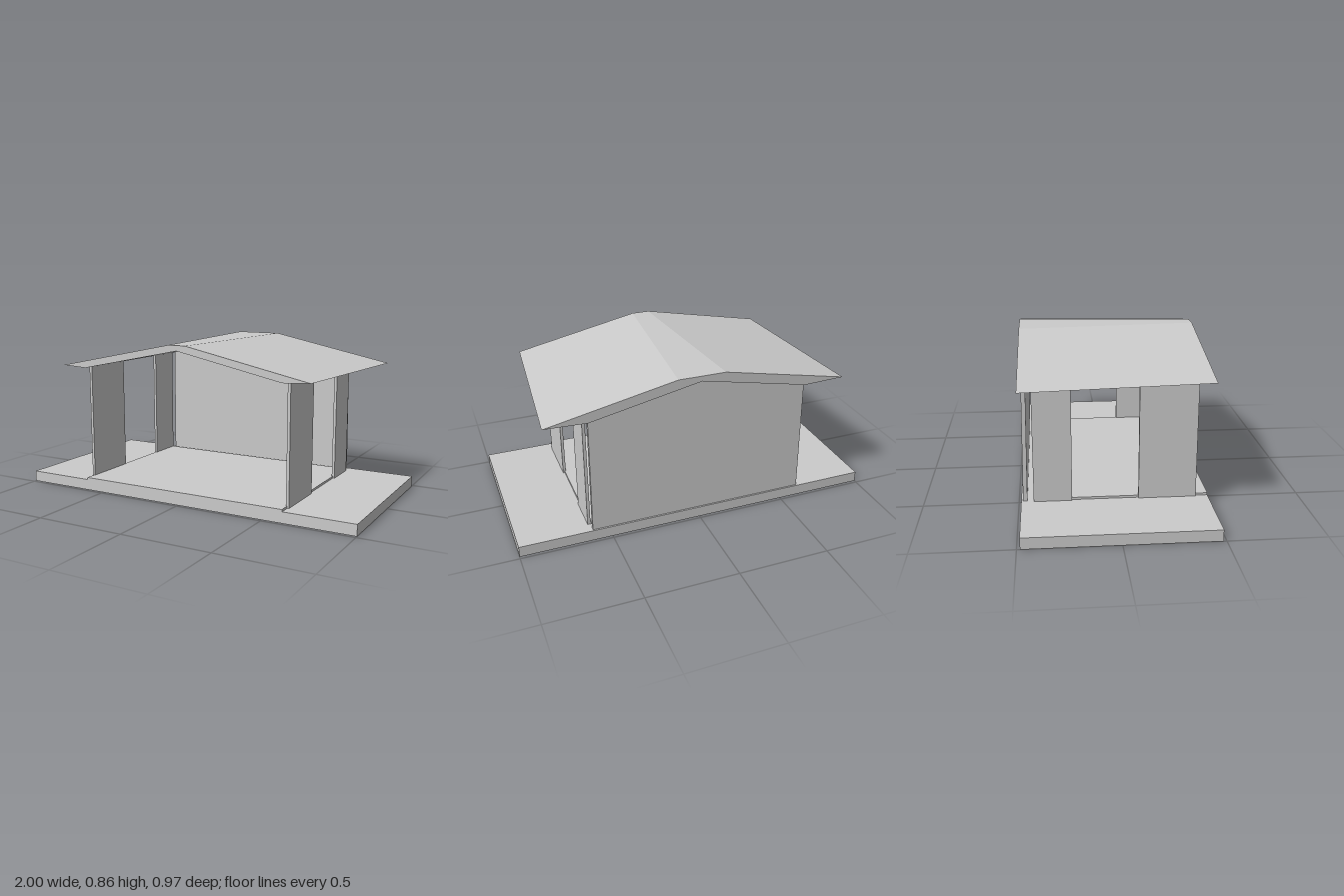
import * as THREE from 'three';

const material = new THREE.MeshStandardMaterial({ color: 0xcccccc, flatShading: true });

function add(group, name, geometry, x = 0, y = 0, z = 0) {
  const mesh = new THREE.Mesh(geometry, material);
  mesh.name = name;
  mesh.position.set(x, y, z);
  group.add(mesh);
  return mesh;
}

// Extrude a polygon lying in the xy plane between two z values
function prism(points, z0, z1) {
  const shape = new THREE.Shape(points.map(([x, y]) => new THREE.Vector2(x, y)));
  return new THREE.ExtrudeGeometry(shape, { depth: z1 - z0, bevelEnabled: false }).translate(0, 0, z0);
}

// Roof slab with a shallow gable, wider at the back than at the front
function roofGeometry() {
  const eave = 0.83, ridge = 0.13;
  const geometry = prism([
    [-eave, 0.712], [-0.6, 0.704], [0, 0.828], [0.6, 0.704],
    [eave, 0.712], [ridge, 0.857], [-ridge, 0.857],
  ], -0.483, 0.483);
  const p = geometry.attributes.position;
  for (let i = 0; i < p.count; i++) {
    if (p.getZ(i) < 0) continue;
    const x = p.getX(i), a = Math.abs(x), s = Math.sign(x);
    if (a > 0.7) p.setX(i, s * 0.75);
    else if (a > 0.05 && a < 0.2) p.setX(i, s * 0.05);
  }
  geometry.computeVertexNormals();
  return geometry;
}

// Gabled back wall leaning very slightly forward towards its top
function backWallGeometry() {
  const geometry = prism([
    [-0.605, 0.06], [0.605, 0.06], [0.6, 0.705], [0, 0.822], [-0.6, 0.705],
  ], -0.475, -0.453);
  const p = geometry.attributes.position;
  for (let i = 0; i < p.count; i++) p.setZ(i, p.getZ(i) + (p.getY(i) - 0.06) * 0.011);
  geometry.computeVertexNormals();
  return geometry;
}

export function createModel() {
  const group = new THREE.Group();
  group.name = 'shelter';

  add(group, 'base', new THREE.BoxGeometry(2, 0.06, 0.968), 0, 0.03, 0);
  add(group, 'floor', new THREE.BoxGeometry(1.22, 0.014, 0.904), 0, 0.065, 0.032);

  // Two upright panels on each side, with an open doorway between them
  for (const side of [-1, 1]) {
    const name = side > 0 ? 'left' : 'right';
    add(group, name + 'FrontPanel', new THREE.BoxGeometry(0.016, 0.655, 0.3), side * 0.611, 0.3875, 0.271);
    add(group, name + 'RearPanel', new THREE.BoxGeometry(0.016, 0.655, 0.197), side * 0.611, 0.3875, -0.3215);
  }

  add(group, 'backWall', backWallGeometry());
  add(group, 'roof', roofGeometry());
  return group;
}
